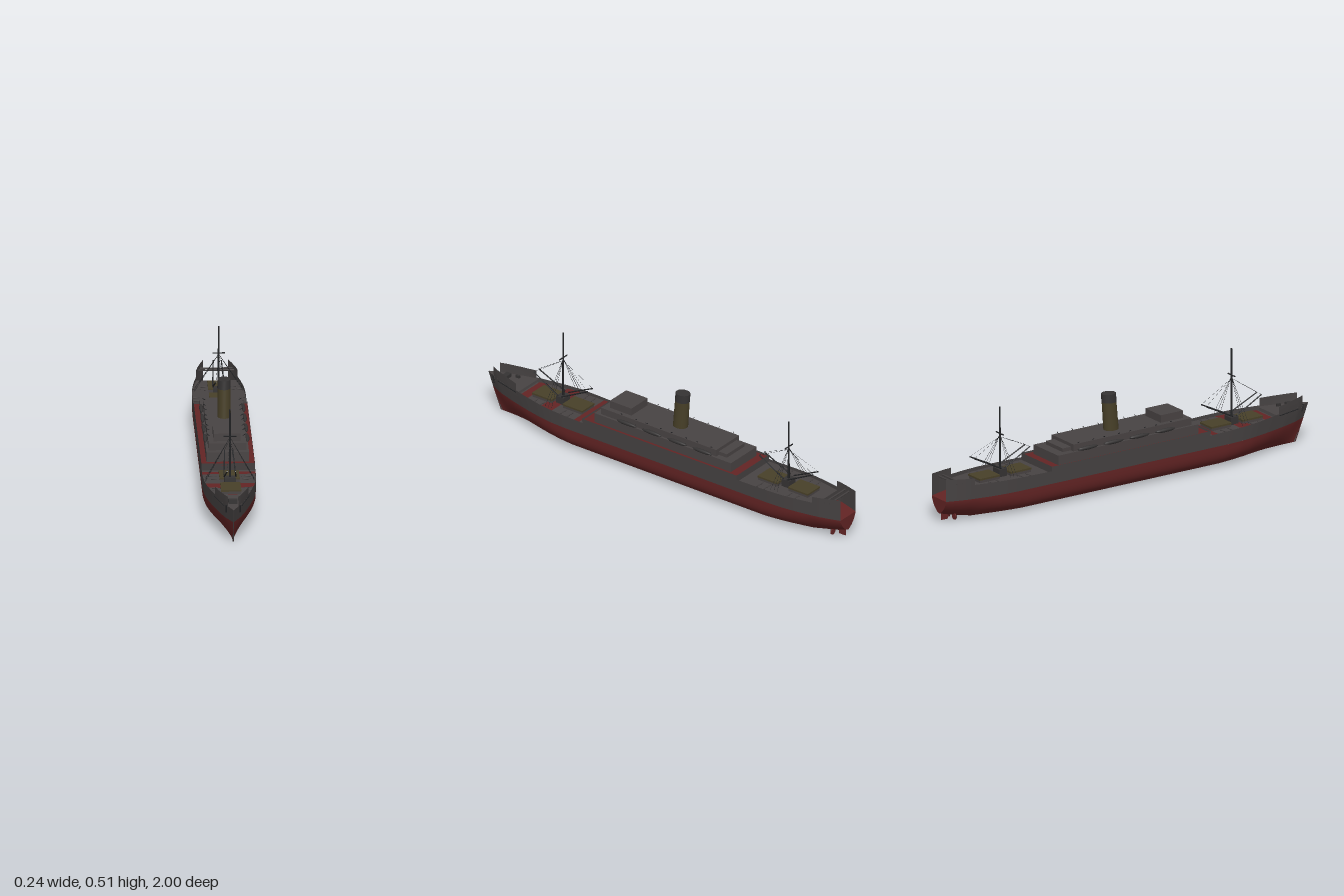
import * as THREE from 'three';

const paint = (name, color, side = THREE.FrontSide) => {
  const m = new THREE.MeshStandardMaterial({ color, side });
  m.name = name;
  return m;
};

// Piecewise-linear lookup in a list of [key, value] pairs
function lookup(table, t) {
  for (let i = 1; i < table.length; i++) {
    const [a, va] = table[i - 1], [b, vb] = table[i];
    if (t <= b) return va + (vb - va) * Math.max(0, (t - a) / (b - a));
  }
  return table[table.length - 1][1];
}

const BEAM = [[-1, 0.055], [-0.95, 0.072], [-0.9, 0.086], [-0.8, 0.105], [-0.72, 0.115], [-0.65, 0.119],
  [0.5, 0.119], [0.58, 0.115], [0.65, 0.106], [0.75, 0.085], [0.85, 0.059], [0.93, 0.034], [1, 0.002]];
const KEEL = [[-1, 0.045], [-0.93, 0.025], [-0.84, 0.006], [1, 0.006]];
const FULLNESS = [[-1, 1.5], [-0.85, 1.7], [-0.6, 3], [0.5, 3], [0.8, 1.8], [1, 1.3]];
const WATERLINE = 0.113;

const beam = t => lookup(BEAM, t);
// Raked stem: stations forward of midships stretch with height
const station = (t, y) => t > 0 ? t * (0.93 + 0.07 * Math.min(1, y / 0.18)) : t;

export function createModel() {
  const ship = new THREE.Group();
  ship.name = 'ship';

  const gray = paint('hull gray', 0x454141, THREE.DoubleSide);
  const red = paint('bottom red', 0x632424, THREE.DoubleSide);
  const deckGray = paint('deck gray', 0x484343, THREE.DoubleSide);
  const olive = paint('olive buff', 0x484028);
  const black = paint('funnel black', 0x353333);
  const dark = paint('rigging black', 0x222325);

  const add = (name, geometry, material, x = 0, y = 0, z = 0) => {
    const m = new THREE.Mesh(geometry, material);
    m.name = name;
    m.position.set(x, y, z);
    ship.add(m);
    return m;
  };
  // Box given by its width, length, bottom, top and centre
  const box = (name, mat, w, l, y0, y1, z, x = 0) =>
    add(name, new THREE.BoxGeometry(w, y1 - y0, l), mat, x, (y0 + y1) / 2, z);
  // Round bar between two points
  const bar = (name, mat, a, b, r, r2 = r, sides = 6) => {
    const p = new THREE.Vector3(...a), q = new THREE.Vector3(...b), d = q.clone().sub(p);
    const m = add(name, new THREE.CylinderGeometry(r2, r, d.length(), sides), mat);
    m.position.copy(p).add(q).multiplyScalar(0.5);
    m.quaternion.setFromUnitVectors(new THREE.Vector3(0, 1, 0), d.normalize());
    return m;
  };
  // Curved sheet: fn(u, v) gives [x, y, z] for u, v in 0..1
  const sheet = (name, mat, nu, nv, fn) => {
    const g = new THREE.PlaneGeometry(1, 1, nu, nv), p = g.attributes.position;
    for (let i = 0; i < p.count; i++) p.setXYZ(i, ...fn(p.getX(i) + 0.5, p.getY(i) + 0.5));
    g.computeVertexNormals();
    return add(name, g, mat);
  };

  // Underwater section: v = 0 at the keel, 1 at the waterline
  const section = (t, v) => {
    const n = lookup(FULLNESS, t), k = lookup(KEEL, t), a = v * Math.PI / 2;
    const x = beam(t) * Math.pow(Math.sin(a), 2 / n);
    const y = k + (WATERLINE - k) * (1 - Math.pow(Math.max(0, Math.cos(a)), 2 / n));
    return [x, y];
  };
  sheet('lowerHull', red, 100, 32, (u, v) => {
    const t = u * 2 - 1, s = v * 2 - 1, [x, y] = section(t, Math.abs(s));
    return [Math.sign(s) * x, y, station(t, y)];
  });
  sheet('transom', red, 6, 14, (u, v) => {
    const [x, y] = section(-1, v);
    return [(u * 2 - 1) * x, y, -1];
  });

  // Upper sides: from, to, top at each end
  const strakes = [
    ['poopSide', -1, -0.87, 0.215, 0.208], ['aftWellSide', -0.87, -0.47, 0.178, 0.172],
    ['midshipSide', -0.47, 0.39, 0.193, 0.193], ['foreWellSide', 0.39, 0.79, 0.172, 0.182],
    ['forecastleSide', 0.79, 0.955, 0.217, 0.225], ['bowSide', 0.955, 1, 0.18, 0.178]];
  for (const [name, t0, t1, h0, h1] of strakes) for (const s of [-1, 1])
    sheet(name, gray, 16, 3, (u, v) => {
      const t = t0 + (t1 - t0) * u, y = WATERLINE + (h0 + (h1 - h0) * u - WATERLINE) * v;
      return [s * beam(t), y, station(t, y)];
    });
  bar('stem', gray, [0, 0.008, 0.925], [0, 0.178, 0.996], 0.004);

  // Decks follow the hull outline
  const deck = (name, mat, t0, t1, y) => sheet(name, mat, 16, 2, (u, v) => {
    const t = t0 + (t1 - t0) * u;
    return [(v * 2 - 1) * beam(t), y, station(t, y)];
  });
  deck('sternFloor', red, -1, -0.87, WATERLINE);
  deck('aftWellDeck', deckGray, -0.87, -0.47, 0.16);
  deck('midshipDeck', red, -0.47, 0.39, 0.184);
  deck('foreWellDeck', deckGray, 0.39, 0.79, 0.16);
  deck('forecastleDeck', deckGray, 0.78, 1, 0.178);
  for (const [a, b] of [[0.42, 0.45], [0.58, 0.645], [0.735, 0.78]])
    deck('redDeckPatch', red, a, b, 0.162);

  // Cross bulkheads
  for (const [t, y0, y1] of [[-0.87, WATERLINE, 0.16], [-0.47, 0.16, 0.193], [0.39, 0.16, 0.193], [0.79, 0.16, 0.178]])
    sheet('bulkhead', gray, 1, 1, (u, v) => {
      const y = y0 + (y1 - y0) * v;
      return [(u * 2 - 1) * beam(t), y, station(t, y)];
    });
  for (const z of [-0.95, -0.925])
    bar('sternBeam', gray, [-beam(z), 0.19, z], [beam(z), 0.19, z], 0.004);

  // Superstructure tiers
  box('lowerHouse', deckGray, 0.19, 0.76, 0.184, 0.228, -0.04);
  box('upperHouse', deckGray, 0.168, 0.64, 0.228, 0.26, -0.01);
  box('bridge', deckGray, 0.12, 0.12, 0.26, 0.295, 0.22);
  box('deckStep', deckGray, 0.13, 0.05, 0.228, 0.245, -0.35);

  // Lifeboats hung from davits on both sides
  for (const s of [-1, 1]) for (const z of [-0.26, -0.12, 0.02, 0.16]) {
    const boat = add('lifeboat', new THREE.SphereGeometry(1, 12, 8), black, s * 0.094, 0.235, z);
    boat.scale.set(0.009, 0.009, 0.055);
    for (const d of [-0.04, 0.04]) {
      bar('davit', dark, [s * 0.084, 0.23, z + d], [s * 0.078, 0.258, z + d], 0.0018);
      bar('davitArm', dark, [s * 0.07, 0.257, z + d], [s * 0.086, 0.267, z + d], 0.0018);
    }
  }

  // Raked oval funnel with a dark top
  const funnelPart = (name, mat, y0, y1) => {
    const g = new THREE.CylinderGeometry(0.029, 0.03, y1 - y0, 32);
    g.applyMatrix4(new THREE.Matrix4().makeScale(1, 1, 1.2));
    g.translate(0, (y0 + y1) / 2, 0);
    const p = g.attributes.position;
    for (let i = 0; i < p.count; i++) p.setZ(i, p.getZ(i) - 0.068 - (p.getY(i) - 0.26) * 0.08);
    g.computeVertexNormals();
    add(name, g, mat);
  };
  funnelPart('funnel', olive, 0.255, 0.39);
  funnelPart('funnelTop', black, 0.39, 0.43);

  // Each mast carries booms, shrouds, a winch house and two hatches
  for (const [z, top] of [[0.585, 0.51], [-0.67, 0.48]]) {
    bar('mast', dark, [0, 0.16, z], [0, top, z], 0.005, 0.0035, 10);
    bar('crosstree', dark, [-0.028, top - 0.125, z], [0.028, top - 0.125, z], 0.003);
    box('winchHouse', black, 0.05, 0.04, 0.16, 0.195, z);
    for (const s of [-1, 1]) {
      for (const d of [-1, 1]) {
        bar('boom', dark, [s * 0.026, 0.2, z + d * 0.01], [s * 0.018, 0.27, z + d * 0.15], 0.003);
        bar('boomLift', dark, [s * 0.018, 0.27, z + d * 0.15], [0, top - 0.14, z], 0.0005, 0.0005, 4);
      }
      for (const d of [-0.018, 0, 0.018])
        bar('shroud', dark, [s * 0.11, 0.18, z + d], [0, top - 0.13, z], 0.0008, 0.0008, 4);
      for (const d of [-0.1, -0.06, 0.06, 0.1])
        bar('bulwarkStay', gray, [s * 0.055, 0.163, z + d], [s * (beam(z + d) - 0.003), 0.166, z + d], 0.002);
    }
    for (const d of [-0.085, 0.085]) {
      box('hatchCoaming', deckGray, 0.086, 0.106, 0.16, 0.172, z + d);
      box('hatchCover', olive, 0.09, 0.11, 0.172, 0.18, z + d);
    }
  }

  // Anchors and forecastle gear
  for (const s of [-1, 1]) {
    const a = bar('anchorShank', dark, [s * 0.031, 0.185, 0.953], [s * 0.031, 0.15, 0.945], 0.003);
    a.name = 'anchorShank';
    bar('anchorRail', dark, [s * 0.04, 0.172, 0.92], [s * 0.078, 0.175, 0.79], 0.002);
    box('bollard', black, 0.01, 0.02, 0.178, 0.19, 0.86, s * 0.03);
  }
  box('windlass', black, 0.04, 0.025, 0.178, 0.195, 0.9);

  // Rudder and propeller post under the counter
  box('rudder', red, 0.006, 0.035, 0.012, 0.06, -0.97);
  box('propellerPost', gray, 0.008, 0.016, 0.004, 0.04, -0.912);
  for (const s of [-1, 1])
    add('propeller', new THREE.CylinderGeometry(0.015, 0.015, 0.005, 12).rotateX(Math.PI / 2), red, s * 0.025, 0.025, -0.935);

  return ship;
}
